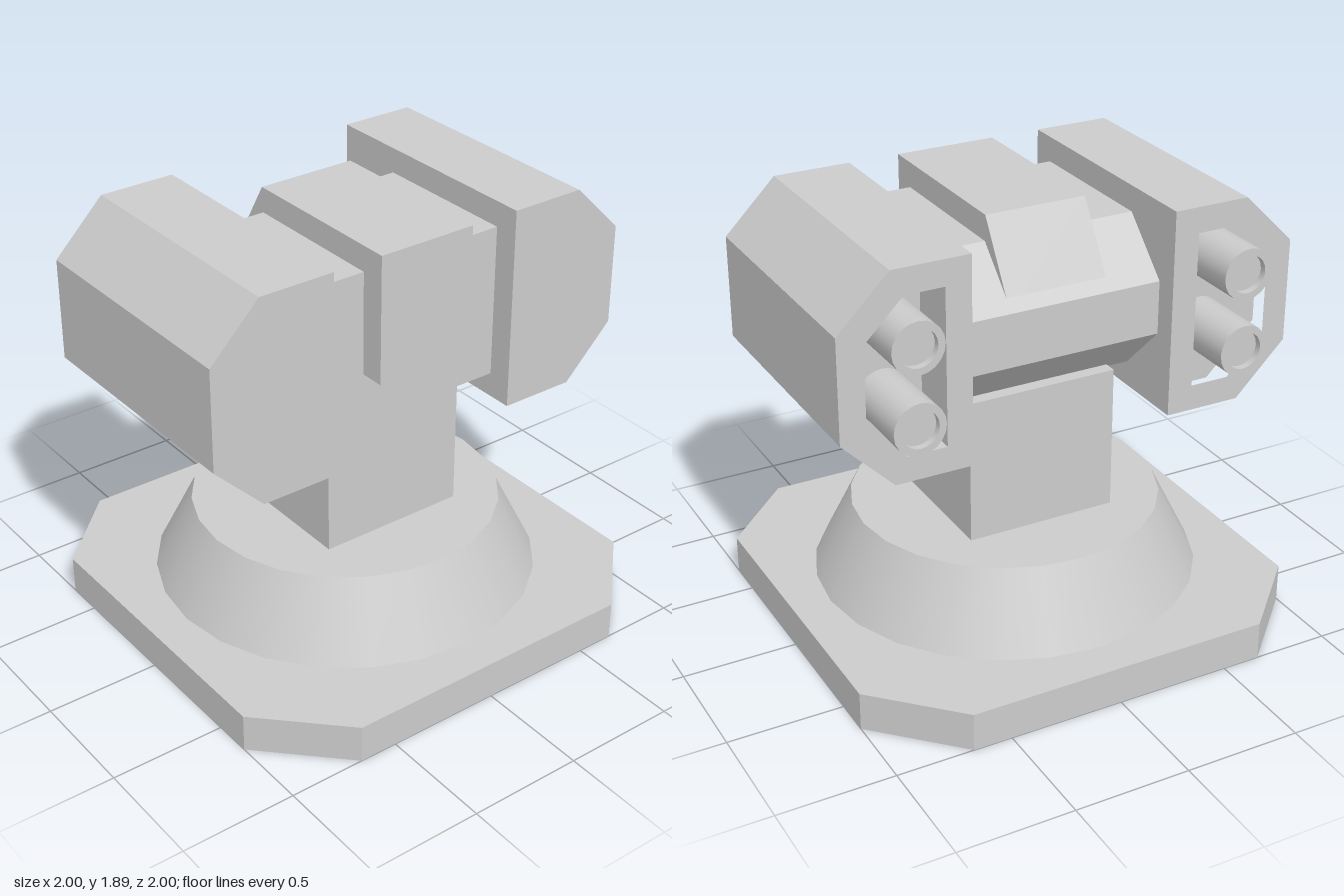
import * as THREE from 'three';
import { toCreasedNormals } from 'three/addons/utils/BufferGeometryUtils.js';

const material = new THREE.MeshStandardMaterial({ color: 0xcccccc });

function add(parent, name, geometry, x = 0, y = 0, z = 0) {
  const mesh = new THREE.Mesh(geometry, material);
  mesh.name = name;
  mesh.position.set(x, y, z);
  parent.add(mesh);
  return mesh;
}

const outline = (points) => new THREE.Shape(points.map(([x, y]) => new THREE.Vector2(x, y)));

function extrude(shape, depth) {
  return new THREE.ExtrudeGeometry(shape, { depth, bevelEnabled: false });
}

// Side profile given as [z, y], extruded across x and centred
function acrossX(profile, width) {
  return extrude(outline(profile.map(([z, y]) => [-z, y])), width)
    .rotateY(Math.PI / 2)
    .translate(-width / 2, 0, 0);
}

// Rectangle with its two outer corners cut, on side s (+1 or -1)
function podOutline(s, inner, outer, bottom, top, cut) {
  return [
    [inner, bottom], [outer - cut, bottom], [outer, bottom + cut],
    [outer, top - cut], [outer - cut, top], [inner, top],
  ].map(([x, y]) => [s * x, y]);
}

export function createModel() {
  const model = new THREE.Group();
  model.name = 'turret';

  // Octagonal ground plate
  const c = 0.667;
  const plate = outline([[-c, -1], [c, -1], [1, -c], [1, c], [c, 1], [-c, 1], [-1, c], [-1, -c]]);
  add(model, 'basePlate', extrude(plate, 0.167).rotateX(-Math.PI / 2));

  // Tapered pedestal and square column
  add(model, 'pedestal', new THREE.CylinderGeometry(0.667, 0.833, 0.333, 24), 0, 0.333, 0);
  add(model, 'column', new THREE.BoxGeometry(0.667, 0.64, 0.667), 0, 0.81, 0);

  // Crossbar with a chamfered back
  add(model, 'crossbar', acrossX([
    [0.415, 1.11], [0.415, 1.78], [-0.255, 1.78], [-0.48, 1.56], [-0.48, 1.33], [-0.255, 1.11],
  ], 0.89));

  // Central housing with a sloping back
  add(model, 'centreHousing', acrossX([
    [0.525, 1.333], [0.525, 1.89], [-0.26, 1.89], [-0.467, 1.55], [-0.467, 1.333],
  ], 0.444));

  // Barrel with a shallow bore at its muzzle
  const length = 0.333, radius = 0.11, bore = 0.08;
  const barrel = toCreasedNormals(new THREE.LatheGeometry([
    [radius, 0], [radius, length], [bore, length], [bore, length - 0.03], [0, length - 0.03],
  ].map(([x, y]) => new THREE.Vector2(x, y)), 20).rotateX(-Math.PI / 2), 0.6);

  // Side pods: solid front, hollow back with two barrels each
  const front = 0.525, floor = -0.36, back = -0.58;
  for (const s of [-1, 1]) {
    const pod = new THREE.Group();
    pod.name = s > 0 ? 'leftPod' : 'rightPod';
    model.add(pod);

    const outer = podOutline(s, 0.445, 1, 1.003, 1.89, 0.222);
    add(pod, 'podBody', extrude(outline(outer), front - floor), 0, 0, floor);

    const rim = outline(outer);
    rim.holes.push(outline(podOutline(s, 0.555, 0.89, 1.113, 1.78, 0.165)));
    add(pod, 'podRim', extrude(rim, floor - back), 0, 0, back);

    for (const y of [1.28, 1.613]) add(pod, 'barrel', barrel, s * 0.722, y, floor);
  }

  return model;
}
